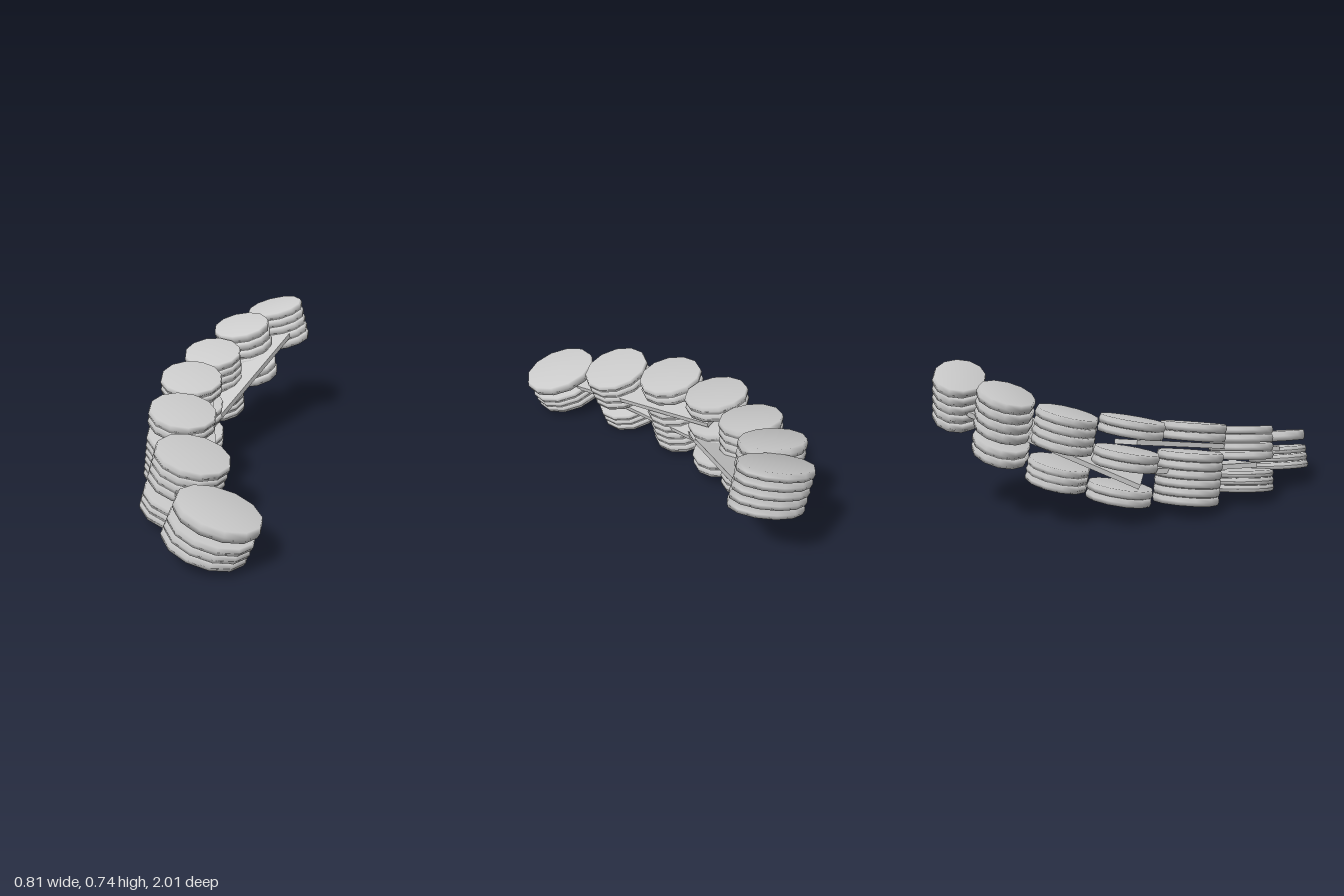
import * as THREE from 'three';

const material = new THREE.MeshStandardMaterial({ color: 0xcccccc });
const UP = new THREE.Vector3(0, 1, 0);

// Unit disc: softly shaded faces and a slim rim, radius 1 and height 1
const discGeometry = new THREE.LatheGeometry(
  [[0, -0.5], [0.965, -0.5], [1, 0], [0.965, 0.5], [0, 0.5]]
    .map(([r, y]) => new THREE.Vector2(r, y)), 12);

// at: centre of the top (x, z); slope: rise of each disc along x and z;
// lean: sideways shift (x, z) per unit of height;
// runs: [top y, bottom y, number of discs], separated by slots for the planks
const stacks = [
  { at: [0.215, 0.837], radii: [0.2, 0.165], yaw: -0.15, slope: [-0.25, 0], lean: [0.4, 0], runs: [[0.26, 0.205, 1], [0.18, 0.065, 3]] },
  { at: [0, 0.55], radii: [0.18, 0.17], yaw: 0, slope: [-0.24, -0.05], lean: [0.32, 0.08], runs: [[0.355, 0.19, 4], [0.14, 0.035, 3]] },
  { at: [-0.163, 0.24], radii: [0.168, 0.17], yaw: 0, slope: [-0.18, -0.12], lean: [0.17, 0.15], runs: [[0.43, 0.345, 2], [0.29, 0.04, 6]] },
  { at: [-0.235, -0.085], radii: [0.162, 0.165], yaw: 0, slope: [-0.1, -0.2], lean: [0.04, 0.2], runs: [[0.485, 0.405, 2], [0.335, 0.25, 2], [0.165, 0.085, 2]] },
  { at: [-0.222, -0.395], radii: [0.157, 0.153], yaw: 0, slope: [0, -0.25], lean: [-0.03, 0.18], runs: [[0.53, 0.36, 4], [0.29, 0.18, 3]] },
  { at: [-0.14, -0.667], radii: [0.163, 0.14], yaw: -0.1, slope: [0.17, -0.28], lean: [-0.18, 0.12], runs: [[0.62, 0.425, 4], [0.395, 0.305, 2]] },
  { at: [0.003, -0.872], radii: [0.178, 0.122], yaw: -0.3, slope: [0.32, -0.22], lean: [-0.25, 0.06], runs: [[0.69, 0.475, 5]] },
];

function makeStack({ at, radii, yaw, slope, lean, runs }) {
  const stack = new THREE.Group();
  stack.name = 'discStack';
  const normal = new THREE.Vector3(-slope[0], 1, -slope[1]).normalize();
  const tilt = new THREE.Quaternion().setFromUnitVectors(UP, normal)
    .multiply(new THREE.Quaternion().setFromAxisAngle(UP, yaw));
  for (const [high, low, count] of runs) {
    const step = (high - low) / count;
    for (let i = 0; i < count; i++) {
      const y = high - step * (i + 0.5), rise = y - runs[0][0];
      const disc = new THREE.Mesh(discGeometry, material);
      disc.name = 'disc';
      disc.position.set(at[0] + lean[0] * rise, y, at[1] + lean[1] * rise);
      disc.quaternion.copy(tilt);
      disc.scale.set(radii[0], step * normal.y, radii[1]);
      stack.add(disc);
    }
  }
  return stack;
}

// Thin straight plank between two points, banked by roll
function makePlank(from, to, width, roll) {
  const a = new THREE.Vector3(...from), b = new THREE.Vector3(...to);
  const along = b.clone().sub(a);
  const plank = new THREE.Mesh(new THREE.BoxGeometry(width, 0.025, along.length()), material);
  plank.name = 'plank';
  along.normalize();
  const across = new THREE.Vector3().crossVectors(UP, along).normalize();
  const normal = new THREE.Vector3().crossVectors(along, across);
  plank.quaternion.setFromRotationMatrix(new THREE.Matrix4().makeBasis(across, normal, along));
  plank.rotateZ(roll);
  plank.position.copy(a).add(b).multiplyScalar(0.5);
  return plank;
}

export function createModel() {
  const model = new THREE.Group();
  model.name = 'curvedDiscStacks';
  stacks.forEach((s) => model.add(makeStack(s)));

  // Planks threaded through the slots of the stacks
  model.add(makePlank([0.03, 0.555, -0.86], [-0.24, 0.19, -0.04], 0.24, 0.12));
  model.add(makePlank([-0.23, 0.37, -0.12], [0.08, 0.2, 0.74], 0.19, -0.18));
  model.add(makePlank([-0.22, 0.22, -0.03], [-0.06, 0.165, 0.56], 0.2, -0.18));
  return model;
}
